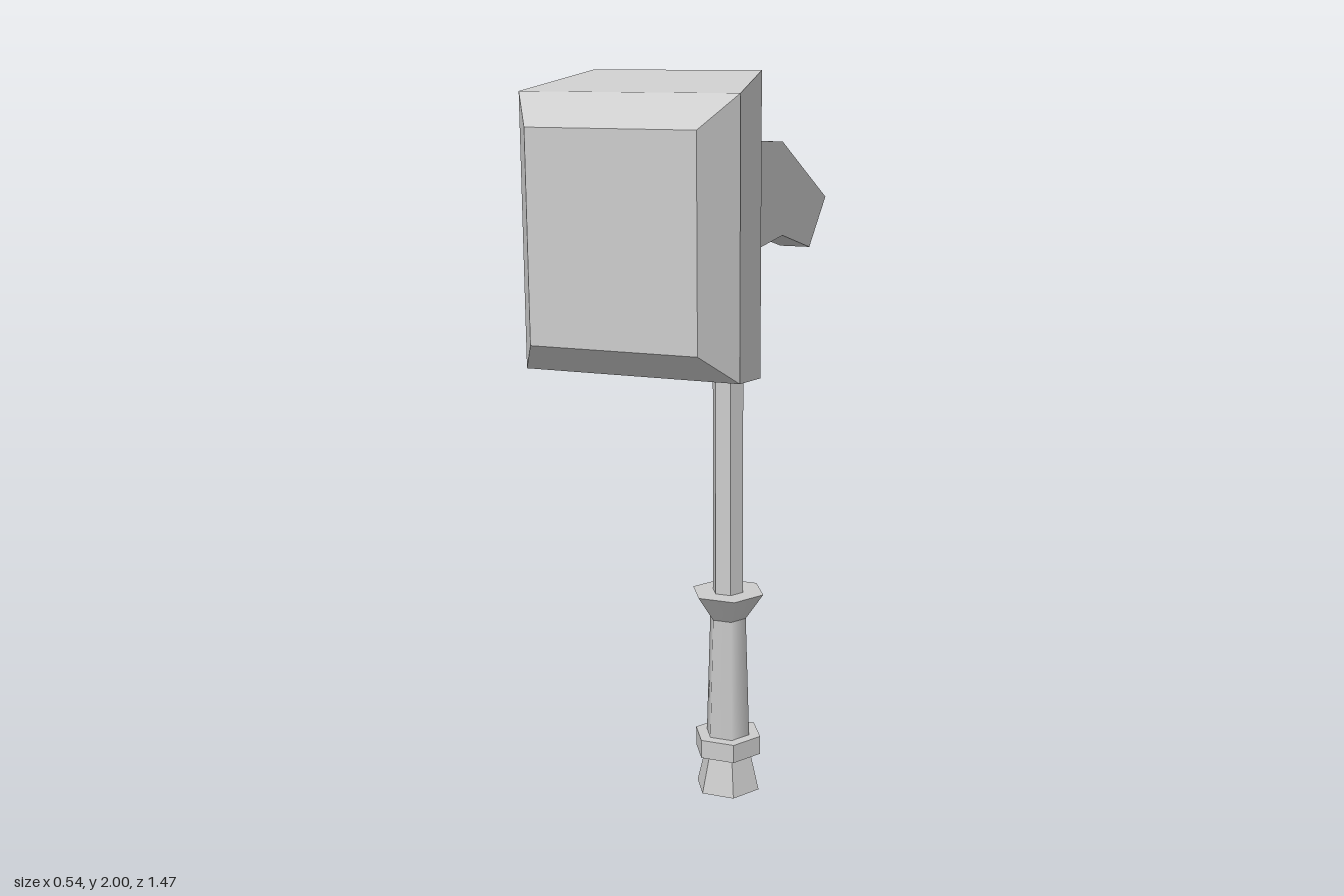
import * as THREE from 'three';

const flat = new THREE.MeshStandardMaterial({ color: 0xcccccc, flatShading: true });
const smooth = new THREE.MeshStandardMaterial({ color: 0xcccccc });

// Six-sided bar with corners on the left and right
function hexBar(name, bottomY, topY, bottomR, topR, material = flat) {
  const geometry = new THREE.CylinderGeometry(topR, bottomR, topY - bottomY, 6);
  geometry.rotateY(Math.PI / 6);
  const mesh = new THREE.Mesh(geometry, material);
  mesh.name = name;
  mesh.position.set(-0.003, (bottomY + topY) / 2, -0.013);
  return mesh;
}

// Rectangular cross-sections [z, half width, low y, high y] joined back to front
function loftRectangles(sections) {
  const positions = [];
  const index = [];
  for (const [z, w, y0, y1] of sections) {
    positions.push(-w, y0, z, w, y0, z, w, y1, z, -w, y1, z);
  }
  const quad = (a, b, c, d) => index.push(a, b, c, a, c, d);
  const last = (sections.length - 1) * 4;
  for (let s = 0; s < last; s += 4) {
    for (let i = 0; i < 4; i++) {
      const j = (i + 1) % 4;
      quad(s + i, s + j, s + 4 + j, s + 4 + i);
    }
  }
  quad(3, 2, 1, 0);
  quad(last, last + 1, last + 2, last + 3);
  const indexed = new THREE.BufferGeometry();
  indexed.setAttribute('position', new THREE.Float32BufferAttribute(positions, 3));
  indexed.setIndex(index);
  const geometry = indexed.toNonIndexed();
  geometry.computeVertexNormals();
  return geometry;
}

export function createModel() {
  const group = new THREE.Group();
  group.name = 'warHammer';

  // Handle, from the pommel up to the cap
  group.add(
    hexBar('pommel', 0, 0.11, 0.093, 0.067),
    hexBar('pommelRing', 0.11, 0.163, 0.097, 0.097),
    hexBar('grip', 0.163, 0.51, 0.064, 0.053, smooth),
    hexBar('gripFlare', 0.51, 0.585, 0.053, 0.104, smooth),
    hexBar('shaft', 0.56, 1.4, 0.044, 0.044),
    hexBar('collar', 1.37, 1.875, 0.088, 0.088),
    hexBar('topCap', 1.875, 1.953, 0.052, 0.091)
  );

  // Hammer block: narrow neck, wide body, bevelled striking face
  const head = new THREE.Mesh(loftRectangles([
    [0.06, 0.045, 1.46, 1.81],
    [0.345, 0.215, 1.27, 2.0],
    [0.635, 0.268, 1.315, 1.955],
    [0.735, 0.205, 1.39, 1.88],
  ]), flat);
  head.name = 'hammerHead';
  group.add(head);

  // Drooping spike behind the collar, drawn as (distance back, height)
  const outline = [
    [0.05, 1.52], [0.33, 1.54], [0.58, 1.48],
    [0.735, 1.615], [0.325, 1.8], [0.05, 1.815],
  ].map(([x, y]) => new THREE.Vector2(x, y));
  const spikeGeometry = new THREE.ExtrudeGeometry(new THREE.Shape(outline), {
    depth: 0.09, bevelEnabled: false,
  });
  spikeGeometry.translate(0, 0, -0.048);
  spikeGeometry.rotateY(Math.PI / 2);
  const spike = new THREE.Mesh(spikeGeometry, flat);
  spike.name = 'backSpike';
  group.add(spike);

  return group;
}
